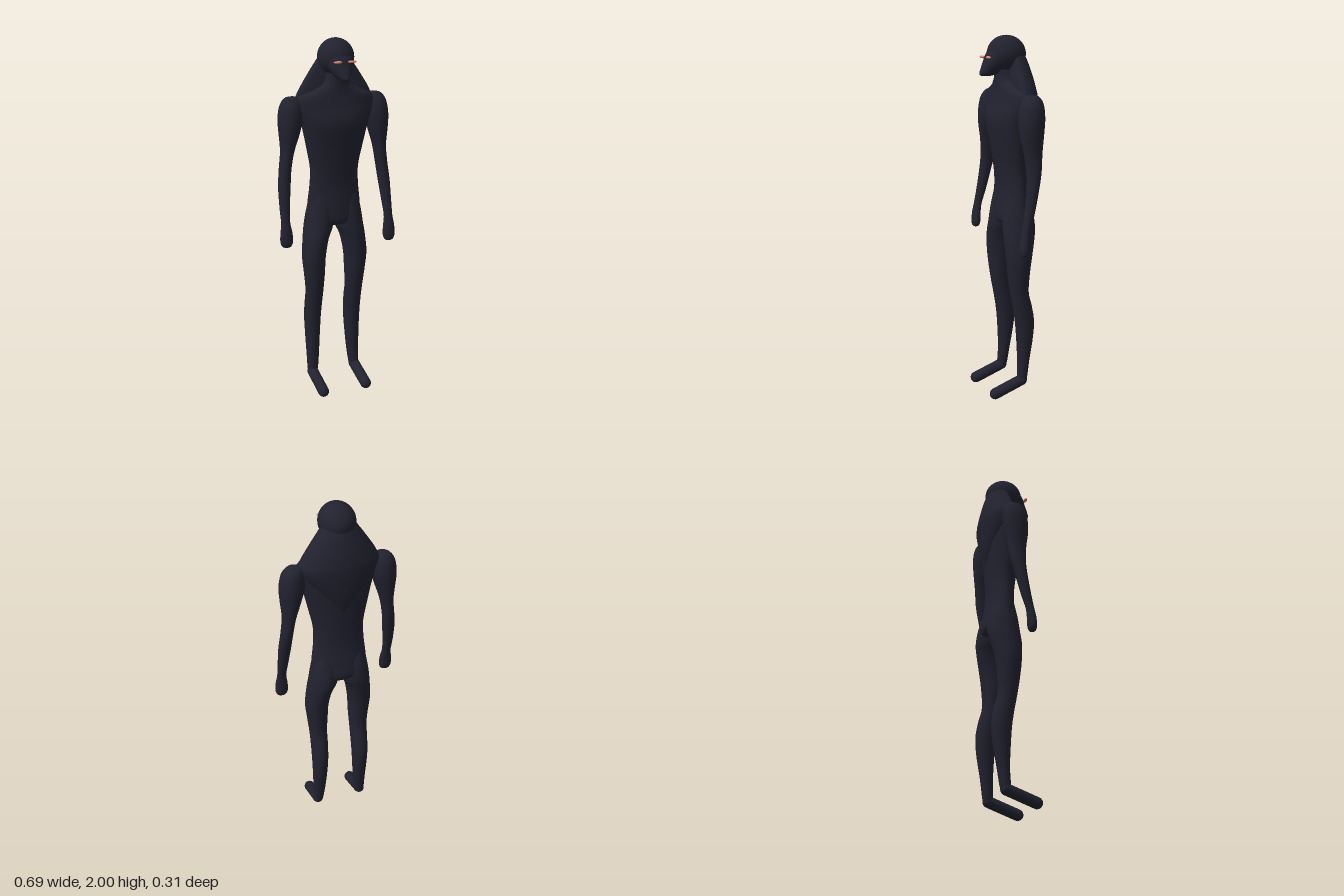
import * as THREE from 'three';

const suit = new THREE.MeshStandardMaterial({ color: 0x222230 });
suit.name = 'dark suit';
const eyeColour = new THREE.MeshStandardMaterial({ color: 0xe08a75 });
eyeColour.name = 'coral eyes';

// Smooth loft through horizontal rings, listed from top to bottom:
// [y, centre x, half width, widest z, front z, back z]
function loft(name, rings, steps = 5, sides = 32) {
  const a = new THREE.CatmullRomCurve3(rings.map(r => new THREE.Vector3(r[1], r[0], r[3])), false, 'catmullrom', 0.5);
  const b = new THREE.CatmullRomCurve3(rings.map(r => new THREE.Vector3(r[2], r[4] - r[3], r[3] - r[5])), false, 'catmullrom', 0.5);
  const rows = (rings.length - 1) * steps;
  const pos = [], index = [];
  for (let j = 0; j <= rows; j++) {
    const c = a.getPoint(j / rows), r = b.getPoint(j / rows);
    for (let i = 0; i < sides; i++) {
      const t = (i / sides) * Math.PI * 2, s = Math.sin(t);
      pos.push(c.x + Math.cos(t) * Math.max(r.x, 0.001), c.y, c.z + s * Math.max(s > 0 ? r.y : r.z, 0.001));
    }
  }
  for (let j = 0; j < rows; j++) {
    for (let i = 0; i < sides; i++) {
      const p = j * sides + i, q = j * sides + (i + 1) % sides;
      index.push(p, q, p + sides, q, q + sides, p + sides);
    }
  }
  // end caps
  const last = rows * sides;
  for (let i = 1; i < sides - 1; i++) {
    index.push(0, i + 1, i, last, last + i, last + i + 1);
  }
  const g = new THREE.BufferGeometry();
  g.setAttribute('position', new THREE.Float32BufferAttribute(pos, 3));
  g.setIndex(index);
  g.computeVertexNormals();
  const mesh = new THREE.Mesh(g, suit);
  mesh.name = name;
  return mesh;
}

function ellipsoid(name, material, position, radii) {
  const mesh = new THREE.Mesh(new THREE.SphereGeometry(1, 32, 20), material);
  mesh.name = name;
  mesh.position.set(...position);
  mesh.scale.set(...radii);
  return mesh;
}

// ring with the widest point midway between front and back
const ring = (y, x, w, front, back) => [y, x, w, (front + back) / 2, front, back];

export function createModel() {
  const model = new THREE.Group();
  model.name = 'hoodedFigure';

  // neck, sloping shoulders, chest, waist and hips
  model.add(loft('torso', [
    ring(1.90, 0, 0.055, 0.055, -0.06),
    ring(1.82, 0, 0.06, 0.055, -0.065),
    ring(1.765, 0, 0.08, 0.053, -0.08),
    ring(1.73, 0, 0.14, 0.053, -0.09),
    ring(1.695, 0, 0.215, 0.056, -0.1),
    ring(1.64, 0, 0.225, 0.066, -0.11),
    ring(1.55, 0, 0.193, 0.085, -0.12),
    ring(1.42, 0, 0.163, 0.064, -0.112),
    ring(1.3, 0, 0.14, 0.045, -0.106),
    ring(1.2, 0, 0.143, 0.035, -0.106),
    ring(1.1, 0, 0.154, 0.04, -0.118),
    ring(1.02, 0, 0.155, 0.045, -0.13),
    ring(0.985, 0, 0.10, 0.03, -0.11),
    ring(0.975, 0, 0.03, -0.02, -0.06),
  ]));

  // hood draped behind the head, ending in a point on the back
  model.add(loft('hoodDrape', [
    [1.94, 0, 0.06, -0.03, 0.0, -0.08],
    [1.88, 0, 0.10, -0.03, 0.0, -0.115],
    [1.80, 0, 0.155, -0.03, 0.005, -0.138],
    [1.72, 0, 0.205, -0.03, 0.01, -0.152],
    [1.675, 0, 0.215, -0.035, 0.0, -0.154],
    [1.60, 0, 0.175, -0.04, -0.01, -0.149],
    [1.50, 0, 0.09, -0.05, -0.03, -0.135],
    [1.40, 0, 0.005, -0.06, -0.05, -0.105],
  ]));

  // rounded cap over a pointed mask
  model.add(ellipsoid('headCap', suit, [0, 1.9, -0.01], [0.097, 0.1, 0.107]));
  model.add(loft('faceMask', [
    [1.93, 0, 0.06, 0.04, 0.085, 0],
    [1.895, 0, 0.071, 0.04, 0.108, 0],
    [1.86, 0, 0.069, 0.045, 0.122, 0.005],
    [1.83, 0, 0.055, 0.055, 0.136, 0.02],
    [1.80, 0, 0.034, 0.075, 0.147, 0.045],
    [1.788, 0, 0.012, 0.105, 0.138, 0.075],
  ]));

  for (const side of [1, -1]) {
    const label = side > 0 ? 'left' : 'right';
    model.add(ellipsoid(label + 'Eye', eyeColour, [side * 0.04, 1.886, 0.114], [0.024, 0.007, 0.01]));

    // arm hanging from the shoulder; the right one is held a little higher
    const reach = side > 0 ? 1 : 0.95;
    const arm = [
      [1.70, 0.235, 0.01, -0.02, -0.05],
      [1.69, 0.24, 0.04, 0.0, -0.08],
      [1.65, 0.247, 0.06, 0.025, -0.1],
      [1.58, 0.252, 0.067, 0.037, -0.105],
      [1.50, 0.26, 0.055, 0.035, -0.098],
      [1.40, 0.272, 0.036, 0.02, -0.085],
      [1.30, 0.286, 0.033, 0.012, -0.073],
      [1.20, 0.297, 0.034, 0.016, -0.05],
      [1.08, 0.305, 0.028, 0.032, -0.022],
      [1.00, 0.308, 0.025, 0.046, 0.002],
      [0.945, 0.308, 0.033, 0.056, 0.01],
      [0.895, 0.308, 0.036, 0.06, 0.012],
      [0.865, 0.308, 0.026, 0.056, 0.02],
      [0.855, 0.308, 0.005, 0.042, 0.034],
    ];
    model.add(loft(label + 'Arm', arm.map(([y, x, w, f, b]) =>
      ring(y < 1.6 ? 1.6 - (1.6 - y) * reach : y, side * x, w, f, b)), 5, 24));

    // leg with thigh, knee and calf
    model.add(loft(label + 'Leg', [
      [1.16, 0.075, 0.06, 0.02, -0.09],
      [1.06, 0.08, 0.078, 0.04, -0.122],
      [0.97, 0.092, 0.08, 0.05, -0.134],
      [0.90, 0.111, 0.07, 0.053, -0.122],
      [0.80, 0.125, 0.066, 0.046, -0.1],
      [0.70, 0.123, 0.059, 0.036, -0.088],
      [0.60, 0.121, 0.051, 0.021, -0.085],
      [0.52, 0.121, 0.049, 0.006, -0.105],
      [0.43, 0.122, 0.047, -0.008, -0.12],
      [0.33, 0.123, 0.043, -0.016, -0.113],
      [0.20, 0.125, 0.037, -0.022, -0.09],
      [0.11, 0.129, 0.031, -0.018, -0.077],
      [0.07, 0.131, 0.024, -0.02, -0.068],
    ].map(([y, x, w, f, b]) => ring(y, side * x, w, f, b)), 5, 24));

    // slim foot sloping down to the toe
    const heel = new THREE.Vector3(side * 0.132, 0.085, -0.042);
    const toe = new THREE.Vector3(side * 0.132, 0.031, 0.122);
    const foot = new THREE.Mesh(new THREE.CapsuleGeometry(0.031, heel.distanceTo(toe), 10, 24), suit);
    foot.name = label + 'Foot';
    foot.position.copy(heel).lerp(toe, 0.5);
    foot.quaternion.setFromUnitVectors(new THREE.Vector3(0, 1, 0), toe.clone().sub(heel).normalize());
    model.add(foot);
  }
  return model;
}
